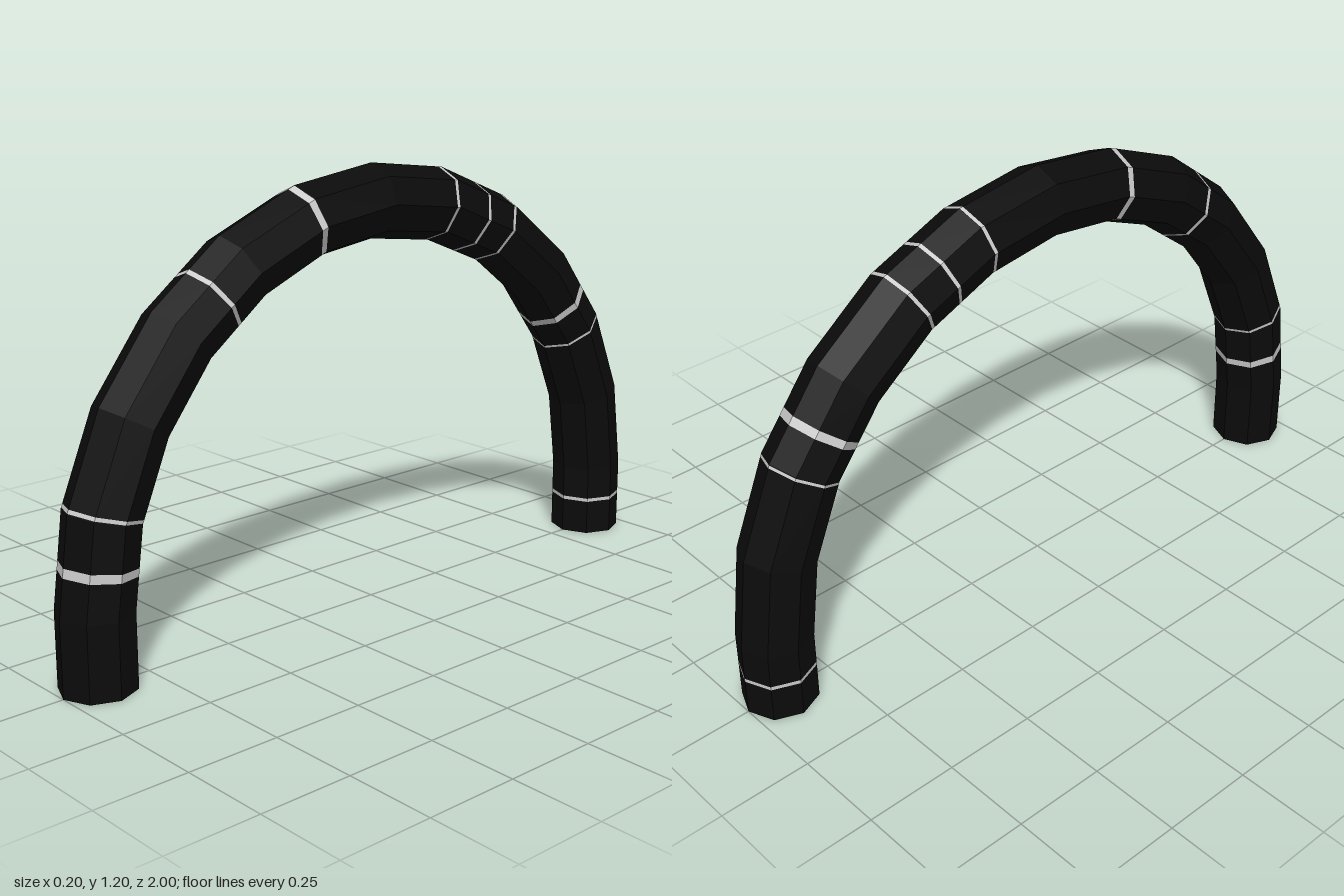
import * as THREE from 'three';

const SIDES = 8, TUBE = 0.1, ARCH = 0.9, LEG = 0.2, ARC_STEPS = 12, END = ARC_STEPS + 2;

// Light rings as [start, end] along the arch, counted in segments from the front foot
const BANDS = [
  [1.406, 1.5], [2.01, 2.05], [4.5, 4.55], [5.91, 5.99], [7.955, 7.995],
  [8.51, 8.55], [8.955, 8.995], [10.51, 10.6], [11.01, 11.04], [13.45, 13.5],
];

// Octagonal cross-section at a whole station: front foot, half circle, back foot
function station(i) {
  const phi = Math.PI * THREE.MathUtils.clamp((i - 1) / ARC_STEPS, 0, 1);
  const base = i === 0 || i === END ? 0 : LEG;
  return Array.from({ length: SIDES }, (_, k) => {
    const a = (k / SIDES) * Math.PI * 2;
    const r = ARCH + TUBE * Math.cos(a);
    return new THREE.Vector3(TUBE * Math.sin(a), base + r * Math.sin(phi), r * Math.cos(phi));
  });
}

// Cross-section anywhere along the arch, straight between stations
function section(u) {
  const i = Math.min(Math.floor(u), END - 1);
  const next = station(i + 1);
  return station(i).map((p, k) => p.lerp(next[k], u - i));
}

// Tube wall from u0 to u1, with a ring at every bend
function addWall(out, u0, u1) {
  const stops = [u0];
  for (let i = Math.floor(u0) + 1; i < u1; i++) stops.push(i);
  stops.push(u1);
  for (let s = 0; s < stops.length - 1; s++) {
    const a = section(stops[s]), b = section(stops[s + 1]);
    for (let k = 0; k < SIDES; k++) {
      const n = (k + 1) % SIDES;
      out.push(a[k], a[n], b[n], a[k], b[n], b[k]);
    }
  }
}

// Flat foot closing one end
function addFoot(out, u) {
  const ring = section(u);
  if (u === 0) ring.reverse();
  for (let k = 1; k < SIDES - 1; k++) out.push(ring[0], ring[k], ring[k + 1]);
}

function makeMesh(name, points, color) {
  const geometry = new THREE.BufferGeometry().setFromPoints(points);
  geometry.computeVertexNormals();
  const mesh = new THREE.Mesh(geometry, new THREE.MeshStandardMaterial({ color, flatShading: true }));
  mesh.name = name;
  return mesh;
}

export function createModel() {
  const group = new THREE.Group();
  group.name = 'bandedArch';

  // Dark tube between the rings, with both feet
  const dark = [];
  let from = 0;
  for (const [start, end] of BANDS) {
    addWall(dark, from, start);
    from = end;
  }
  addWall(dark, from, END);
  addFoot(dark, 0);
  addFoot(dark, END);
  group.add(makeMesh('archTube', dark, 0x0b0b0b));

  // Light rings flush with the tube
  BANDS.forEach(([start, end], i) => {
    const points = [];
    addWall(points, start, end);
    group.add(makeMesh(`lightBand${i + 1}`, points, 0xcccccc));
  });
  return group;
}
